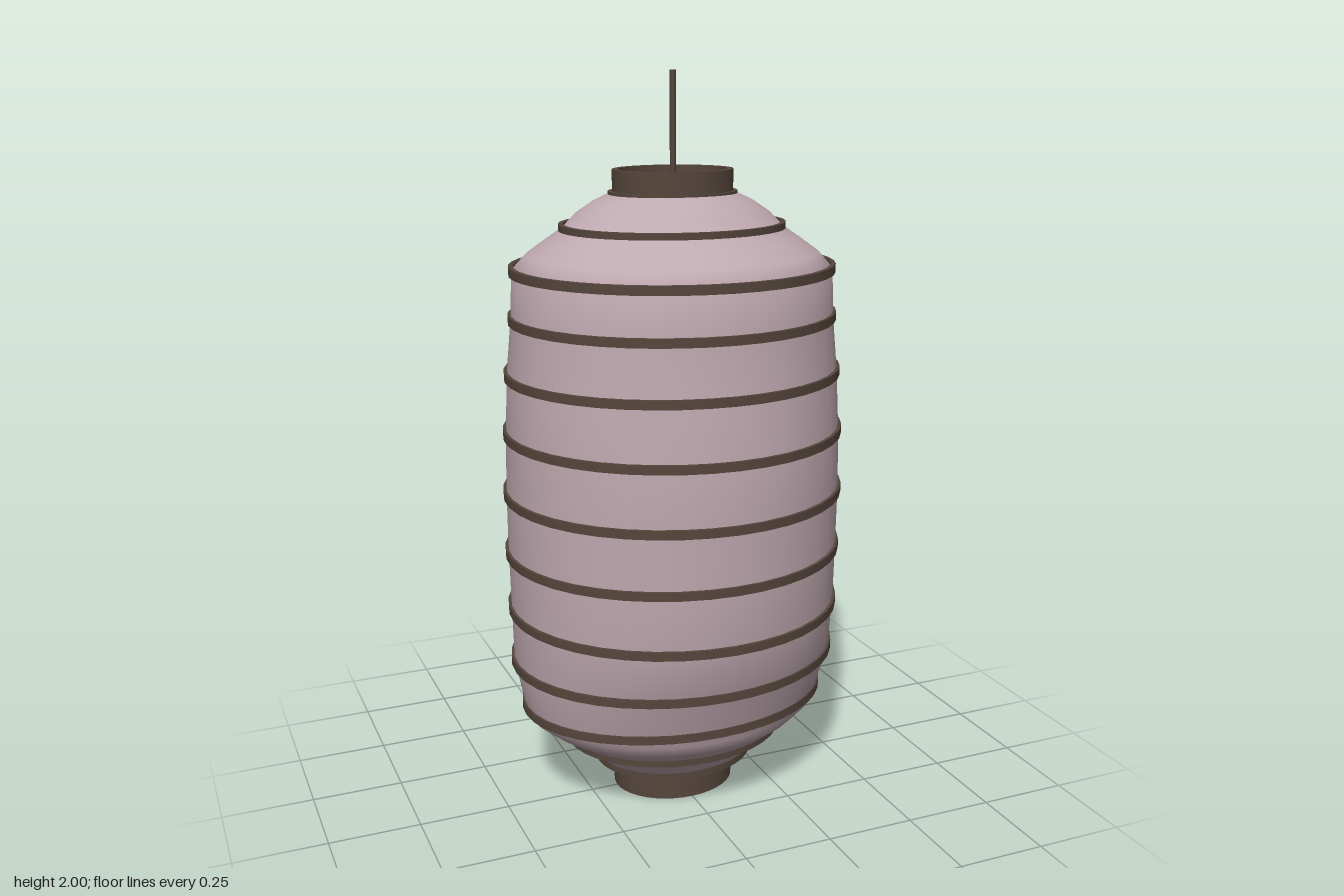
import * as THREE from 'three';
import { mergeVertices, toCreasedNormals } from 'three/addons/utils/BufferGeometryUtils.js';

const paper = new THREE.MeshStandardMaterial({ color: 0xbfa9b0, side: THREE.DoubleSide });
const wood = new THREE.MeshStandardMaterial({ color: 0x55463c });
const SEGMENTS = 40;

// Lathe with an elliptical section: each profile point is [rx, rz, y]
function ovalLathe(points) {
  const geo = new THREE.LatheGeometry(points.map(([rx, , y]) => new THREE.Vector2(rx, y)), SEGMENTS);
  const pos = geo.attributes.position;
  for (let i = 0; i < pos.count; i++) {
    const [rx, rz] = points[i % points.length];
    pos.setZ(i, pos.getZ(i) * rz / rx);
  }
  geo.deleteAttribute('uv');
  geo.deleteAttribute('normal');
  const merged = mergeVertices(geo, 1e-5);
  merged.computeVertexNormals();
  return merged;
}

// Closed oval hoop with a rectangular section, given its outer radii
function hoop(rx, rz, y0, y1, thickness) {
  const t = thickness;
  return toCreasedNormals(ovalLathe([
    [rx, rz, y0], [rx, rz, y1], [rx - t, rz - t, y1], [rx - t, rz - t, y0], [rx, rz, y0],
  ]), 0.6);
}

// Ribs from top to bottom: [rx, rz, y]
const RIBS = [
  [0.307, 0.259, 1.60], [0.44, 0.40, 1.492], [0.445, 0.405, 1.365], [0.46, 0.416, 1.215],
  [0.466, 0.435, 1.055], [0.47, 0.437, 0.888], [0.47, 0.428, 0.722], [0.466, 0.43, 0.56],
  [0.465, 0.39, 0.412], [0.44, 0.333, 0.282], [0.315, 0.264, 0.175], [0.228, 0.197, 0.098],
];

// Extra paper points that round the shoulders and the foot
const SHOULDERS = [
  [0.162, 0.143, 1.692], [0.215, 0.187, 1.668], [0.262, 0.225, 1.637],
  [0.345, 0.30, 1.568], [0.395, 0.35, 1.532],
  [0.422, 0.325, 0.252], [0.375, 0.302, 0.215],
  [0.262, 0.222, 0.132], [0.174, 0.147, 0.064],
];

export function createModel() {
  const group = new THREE.Group();
  const add = (name, geo, material = wood) => {
    const mesh = new THREE.Mesh(geo, material);
    mesh.name = name;
    group.add(mesh);
    return mesh;
  };

  // Paper skin stretched just inside the ribs
  const skin = RIBS.map(([rx, rz, y]) => [rx - 0.008, rz - 0.008, y])
    .concat(SHOULDERS)
    .sort((a, b) => a[2] - b[2]);
  add('paperShade', ovalLathe(skin), paper);

  // Ribs
  RIBS.forEach(([rx, rz, y], i) => add(`rib${i + 1}`, hoop(rx, rz, y - 0.012, y + 0.012, 0.013)));

  // Collars with their thin flanges
  add('topCollar', hoop(0.162, 0.143, 1.685, 1.75, 0.016));
  add('topFlange', hoop(0.174, 0.15, 1.683, 1.694, 0.025));
  add('bottomCollar', hoop(0.174, 0.145, 0, 0.066, 0.016));
  add('bottomFlange', hoop(0.184, 0.157, 0.06, 0.07, 0.025));

  // Hanger plate: an oval disc with three sector openings that leave tapered spokes
  const plate = new THREE.Shape();
  plate.absellipse(0, 0, 0.152, 0.133, 0, Math.PI * 2);
  for (let i = 0; i < 3; i++) {
    const start = -Math.PI / 2 + i * Math.PI * 2 / 3;
    const at = (r, a) => new THREE.Vector2(0.1 * r * Math.cos(a), 0.085 * r * Math.sin(a));
    const outline = [at(0.1, start + Math.PI / 3)];
    for (let k = 0; k <= 10; k++) {
      outline.push(at(1, start + 0.17 + k / 10 * (Math.PI * 2 / 3 - 0.34)));
    }
    plate.holes.push(new THREE.Path(outline));
  }
  const plateGeo = new THREE.ExtrudeGeometry(plate, { depth: 0.012, bevelEnabled: false, curveSegments: 20 });
  plateGeo.rotateX(-Math.PI / 2);
  add('hangerPlate', plateGeo).position.y = 1.686;

  // Hanging rod
  add('hangingRod', new THREE.CylinderGeometry(0.008, 0.008, 0.314, 10)).position.y = 1.843;

  return group;
}
